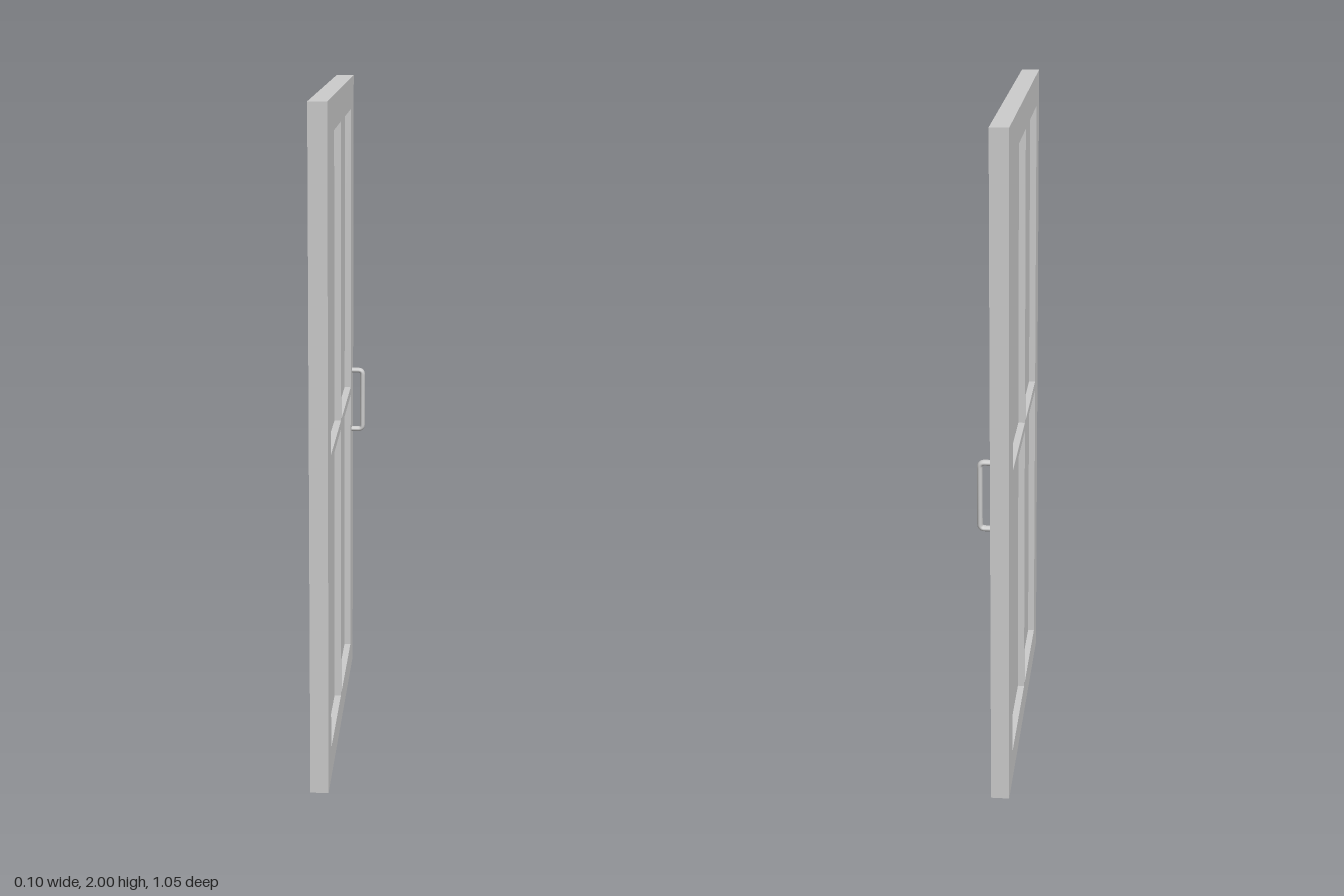
import * as THREE from 'three';

const material = new THREE.MeshStandardMaterial({ color: 0xcccccc });

// Door faces along x, and the edges of the four openings
const FRONT = 0.0055, BACK = -0.0486;
const HALF_WIDTH = 0.524, HEIGHT = 2;
const COLUMNS = [[0.011, -0.407], [0.423, 0.032]]; // z ranges
const ROWS = [[0.095, 0.971], [0.998, 1.903]]; // y ranges

function addMesh(parent, name, geometry) {
  const mesh = new THREE.Mesh(geometry, material);
  mesh.name = name;
  parent.add(mesh);
  return mesh;
}

function rectangle(path, a, b, bottom, top) {
  path.moveTo(a, bottom);
  path.lineTo(b, bottom);
  path.lineTo(b, top);
  path.lineTo(a, top);
  path.closePath();
  return path;
}

// Stiles, rails and glazing bars as one slab with four openings
function createFrame() {
  const shape = rectangle(new THREE.Shape(), -HALF_WIDTH, HALF_WIDTH, 0, HEIGHT);
  for (const [a, b] of COLUMNS) {
    for (const [bottom, top] of ROWS) {
      shape.holes.push(rectangle(new THREE.Path(), a, b, bottom, top));
    }
  }
  const geometry = new THREE.ExtrudeGeometry(shape, { depth: FRONT - BACK, bevelEnabled: false });
  geometry.rotateY(-Math.PI / 2); // shape x becomes world z
  geometry.translate(FRONT, 0, 0);
  return geometry;
}

// Pull handle: a flattened tube along a rounded bracket path
function createHandle() {
  const inner = FRONT - 0.004, outer = 0.0406;
  const low = 0.842, high = 1.042, r = 0.014;
  const p = (x, y) => new THREE.Vector3(x, y, 0);
  const path = new THREE.CurvePath();
  path.add(new THREE.LineCurve3(p(inner, low), p(outer - r, low)));
  path.add(new THREE.QuadraticBezierCurve3(p(outer - r, low), p(outer, low), p(outer, low + r)));
  path.add(new THREE.LineCurve3(p(outer, low + r), p(outer, high - r)));
  path.add(new THREE.QuadraticBezierCurve3(p(outer, high - r), p(outer, high), p(outer - r, high)));
  path.add(new THREE.LineCurve3(p(outer - r, high), p(inner, high)));
  const geometry = new THREE.TubeGeometry(path, 80, 0.008, 16);
  geometry.scale(1, 1, 1.5);
  geometry.translate(0, 0, -0.463);
  return geometry;
}

export function createModel() {
  const door = new THREE.Group();
  door.name = 'door';

  addMesh(door, 'frame', createFrame());

  // Thin panes set midway through the frame
  const panes = new THREE.Group();
  panes.name = 'panes';
  door.add(panes);
  for (const [a, b] of COLUMNS) {
    for (const [bottom, top] of ROWS) {
      const pane = addMesh(panes, 'pane', new THREE.BoxGeometry(0.014, top - bottom, Math.abs(a - b)));
      pane.position.set((FRONT + BACK) / 2, (bottom + top) / 2, (a + b) / 2);
    }
  }

  addMesh(door, 'handle', createHandle());
  return door;
}
